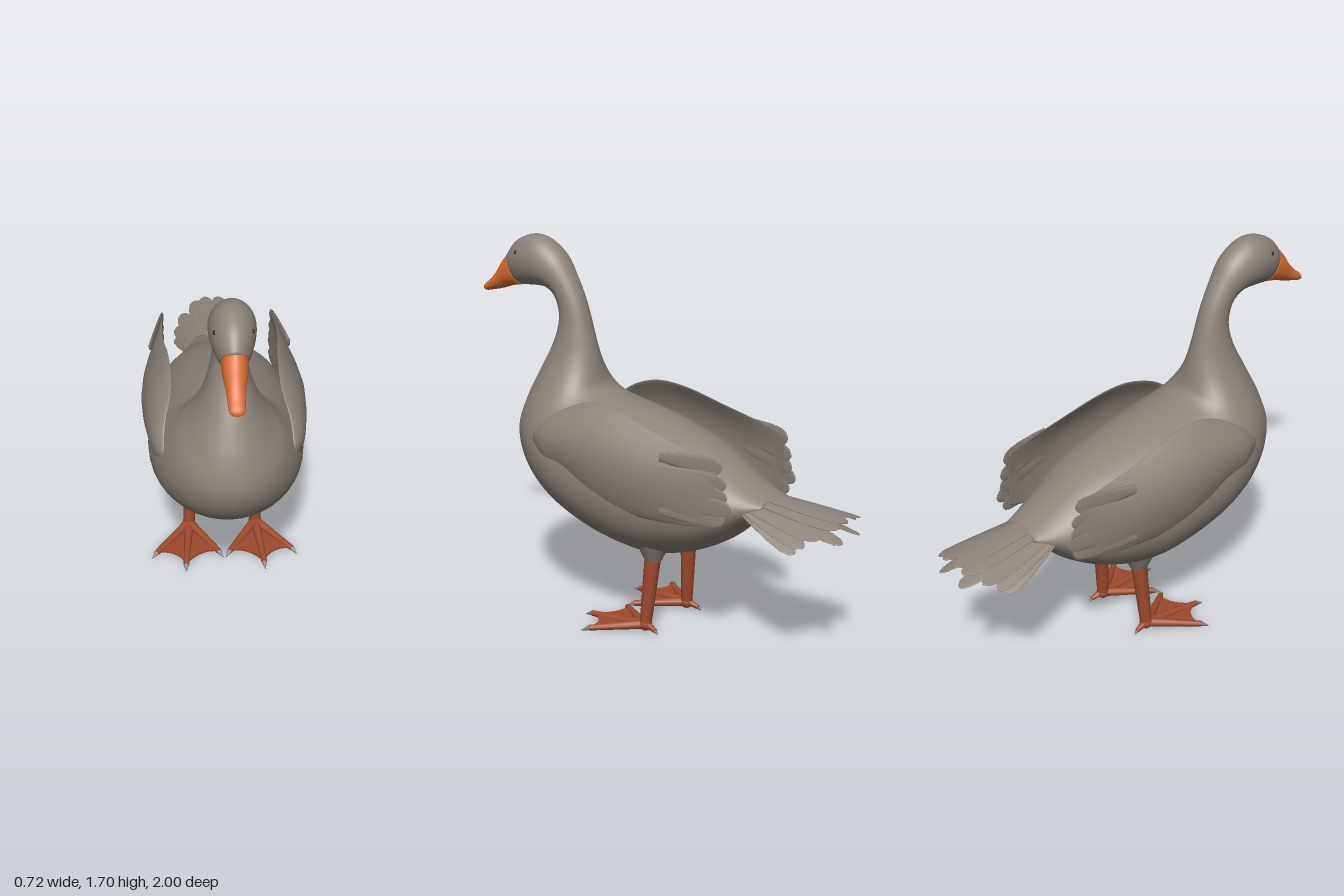
import * as THREE from 'three';

const V = (x, y, z) => new THREE.Vector3(x, y, z);
const paint = (name, color) => {
  const m = new THREE.MeshStandardMaterial({ color });
  m.name = name;
  return m;
};

// Resample rows of numbers along a smooth spline, column by column
function smoothRows(rows, count) {
  const splines = rows[0].map((_, k) => new THREE.SplineCurve(rows.map(r => new THREE.Vector2(r[k], 0))));
  return Array.from({ length: count + 1 }, (_, i) => splines.map(s => s.getPoint(i / count).x));
}

// Closed skin over rings of points, capped at both ends
function loft(rings) {
  const n = rings[0].length, last = (rings.length - 1) * n;
  const pts = rings.flat(), index = [];
  const centre = ring => ring.reduce((c, p) => c.add(p), V(0, 0, 0)).divideScalar(n);
  pts.push(centre(rings[0]), centre(rings[rings.length - 1]));
  for (let i = 0; i < rings.length - 1; i++) {
    for (let j = 0; j < n; j++) {
      const a = i * n + j, b = i * n + (j + 1) % n;
      index.push(a, a + n, b, b, a + n, b + n);
    }
  }
  for (let j = 0; j < n; j++) {
    const k = (j + 1) % n;
    index.push(pts.length - 2, j, k, pts.length - 1, last + k, last + j);
  }
  const g = new THREE.BufferGeometry().setFromPoints(pts);
  g.setIndex(index);
  g.computeVertexNormals();
  return g;
}

const angles = n => Array.from({ length: n }, (_, j) => j / n * Math.PI * 2);

// Loft from rows of [lower z, lower y, upper z, upper y, half width]
function profileLoft(rows, count, sides) {
  return loft(smoothRows(rows, count).map(([bz, by, tz, ty, w]) => angles(sides).map(a => {
    const c = Math.cos(a);
    return V(Math.sin(a) * w, (by + ty) / 2 + c * (ty - by) / 2, (bz + tz) / 2 + c * (tz - bz) / 2);
  })));
}

export function createModel() {
  const goose = new THREE.Group();
  goose.name = 'goose';
  const plumage = paint('greyPlumage', 0x8d837a);
  const orange = paint('orangeBeak', 0xdb6c32);
  const rust = paint('rustLegs', 0x9e4a2d);
  const horn = paint('greyClaws', 0x85807b);
  const dark = paint('darkEyes', 0x2a2522);

  const add = (name, geometry, material, parent = goose) => {
    const m = new THREE.Mesh(geometry, material);
    m.name = name;
    parent.add(m);
    return m;
  };
  // Tapered round bar between two points
  const rod = (name, p, q, r1, r2, material, parent) => {
    const m = add(name, new THREE.CylinderGeometry(r2, r1, p.distanceTo(q), 14), material, parent);
    m.position.copy(p).lerp(q, 0.5);
    m.quaternion.setFromUnitVectors(V(0, 1, 0), q.clone().sub(p).normalize());
    return m;
  };
  // Thin round-tipped feather from root to tip, its flat side facing up
  const feather = (name, root, tip, width, up, parent) => {
    const len = root.distanceTo(tip);
    const rows = [[0, 0.5], [0.3, 0.8], [0.65, 1], [0.85, 0.95], [0.95, 0.7], [0.99, 0.35], [1, 0.1]];
    const geo = loft(rows.map(([t, w]) => angles(10).map(a =>
      V(Math.sin(a) * w * width / 2, Math.cos(a) * 0.006 * (1.2 - t * 0.8), t * len))));
    const m = add(name, geo, plumage, parent);
    m.up.copy(up);
    m.position.copy(root);
    m.lookAt(tip);
  };

  // Body, neck and head in one continuous sweep
  add('body', profileLoft([
    [-0.63, 0.67, -0.63, 0.72, 0.10], [-0.54, 0.595, -0.54, 0.755, 0.15],
    [-0.42, 0.49, -0.42, 0.82, 0.21], [-0.25, 0.40, -0.27, 0.90, 0.28],
    [-0.05, 0.35, -0.08, 0.96, 0.32], [0.15, 0.37, 0.08, 0.995, 0.335],
    [0.36, 0.435, 0.20, 1.015, 0.335], [0.54, 0.535, 0.27, 1.03, 0.315],
    [0.67, 0.66, 0.305, 1.055, 0.275], [0.732, 0.80, 0.32, 1.09, 0.225],
    [0.71, 0.94, 0.332, 1.14, 0.165], [0.645, 1.08, 0.348, 1.21, 0.115],
    [0.575, 1.21, 0.368, 1.29, 0.085], [0.54, 1.31, 0.39, 1.37, 0.07],
    [0.54, 1.385, 0.42, 1.45, 0.066], [0.565, 1.44, 0.465, 1.535, 0.07],
    [0.61, 1.466, 0.53, 1.63, 0.085], [0.66, 1.468, 0.62, 1.69, 0.094],
    [0.71, 1.465, 0.70, 1.70, 0.09], [0.76, 1.46, 0.79, 1.662, 0.072],
    [0.79, 1.465, 0.855, 1.59, 0.046],
  ], 100, 40), plumage);

  // Beak, deep at the base and flattened at the tip
  add('beak', profileLoft([
    [0.765, 1.458, 0.845, 1.6, 0.054], [0.83, 1.445, 0.885, 1.555, 0.049],
    [0.89, 1.425, 0.92, 1.505, 0.039], [0.95, 1.41, 0.96, 1.463, 0.034],
    [0.985, 1.403, 0.99, 1.44, 0.03], [1.0, 1.408, 1.0, 1.425, 0.014],
  ], 20, 20), orange);

  // Tail fan, drooping towards the sides
  const tail = new THREE.Group();
  tail.name = 'tail';
  goose.add(tail);
  const fan = [
    [0.035, 0.70, -1.0, 0.085], [0.085, 0.685, -0.99, 0.085], [0.07, 0.615, -1.0, 0.08],
    [0.15, 0.645, -0.935, 0.08], [0.175, 0.605, -0.88, 0.075], [0.18, 0.57, -0.84, 0.07],
  ];

  for (const s of [1, -1]) {
    const side = s > 0 ? 'left' : 'right';
    for (const [x, y, z, w] of fan) {
      feather('tailFeather', V(s * x * 0.6, 0.735 - x * 0.25, -0.5), V(s * x, y, z), w, V(s * x * 3, 1, 0), tail);
    }

    // Eye
    const eye = add(side + 'Eye', new THREE.SphereGeometry(0.01, 12, 8), dark);
    eye.position.set(s * 0.07, 1.62, 0.745);

    // Folded wing: rows of [z, bottom, top, outer x, inward curl, thickness]
    const wing = new THREE.Group();
    wing.name = side + 'Wing';
    goose.add(wing);
    const wingRows = smoothRows([
      [-0.5, 0.66, 0.915, 0.263, 0.01, 0.008], [-0.4, 0.62, 0.94, 0.295, 0.03, 0.015],
      [-0.2, 0.61, 0.985, 0.34, 0.07, 0.025], [0, 0.605, 1.04, 0.36, 0.10, 0.04],
      [0.15, 0.635, 1.053, 0.357, 0.10, 0.05], [0.28, 0.70, 1.02, 0.345, 0.085, 0.05],
      [0.40, 0.75, 0.95, 0.325, 0.04, 0.04], [0.48, 0.82, 0.87, 0.285, 0, 0.02],
    ], 36);
    add('wingShell', loft(wingRows.map(([z, yb, yt, x, curl, t]) => angles(28).map(a => {
      const u = Math.cos(a), v = Math.sin(a * s);
      const outer = x - curl * u * u * (u > 0 ? 1 : 0.4);
      return V(s * (outer + t * (v - 1) / 2), (yb + yt) / 2 + u * (yt - yb) / 2, z);
    }))), plumage, wing);
    // Scalloped flight feather tips along the trailing edge
    for (const [y0, y1, z] of [[0.91, 0.895, -0.525], [0.85, 0.82, -0.545], [0.79, 0.765, -0.55],
      [0.73, 0.72, -0.57], [0.67, 0.67, -0.54]]) {
      feather('flightFeather', V(s * 0.315, y0, -0.25), V(s * 0.25, y1, z), 0.085, V(s, 0, 0), wing);
    }

    // Leg with feathered thigh
    const leg = new THREE.Group();
    leg.name = side + 'Leg';
    goose.add(leg);
    const hip = V(s * 0.135, 0.36, -0.08), ankle = V(s * 0.157, 0.04, -0.055);
    rod('thigh', V(s * 0.133, 0.345, -0.08), V(s * 0.13, 0.45, -0.08), 0.038, 0.09, plumage, leg);
    rod('shank', hip, ankle, 0.037, 0.027, rust, leg);
    const joint = add('ankle', new THREE.SphereGeometry(0.03, 14, 10), rust, leg);
    joint.position.copy(ankle).setY(0.036);

    // Toes and claws
    const toes = [[0.025, 0.15], [0.18, 0.235], [0.315, 0.145]];
    for (const [x, z] of toes) {
      const tip = V(s * x, 0.02, z);
      const dir = tip.clone().sub(ankle).setY(0).normalize();
      rod('toe', V(s * 0.157, 0.034, -0.05), tip, 0.022, 0.013, rust, leg);
      rod('claw', tip, tip.clone().addScaledVector(dir, 0.035).setY(0.008), 0.012, 0.002, horn, leg);
    }
    const hind = V(s * 0.165, 0.02, -0.115);
    rod('hindToe', V(s * 0.157, 0.04, -0.055), hind, 0.018, 0.01, rust, leg);
    rod('hindClaw', hind, V(s * 0.167, 0.008, -0.13), 0.009, 0.002, horn, leg);

    // Webbing with scooped edges between the toes
    const web = new THREE.Shape();
    web.moveTo(s * 0.157, 0.05);
    web.lineTo(s * 0.03, -0.145);
    web.quadraticCurveTo(s * 0.11, -0.13, s * 0.178, -0.225);
    web.quadraticCurveTo(s * 0.22, -0.13, s * 0.31, -0.14);
    web.closePath();
    const webbing = add('webbing', new THREE.ExtrudeGeometry(web, { depth: 0.01, bevelEnabled: false, curveSegments: 10 }), rust, leg);
    webbing.rotation.x = -Math.PI / 2;
    webbing.position.y = 0.015;
  }
  return goose;
}
